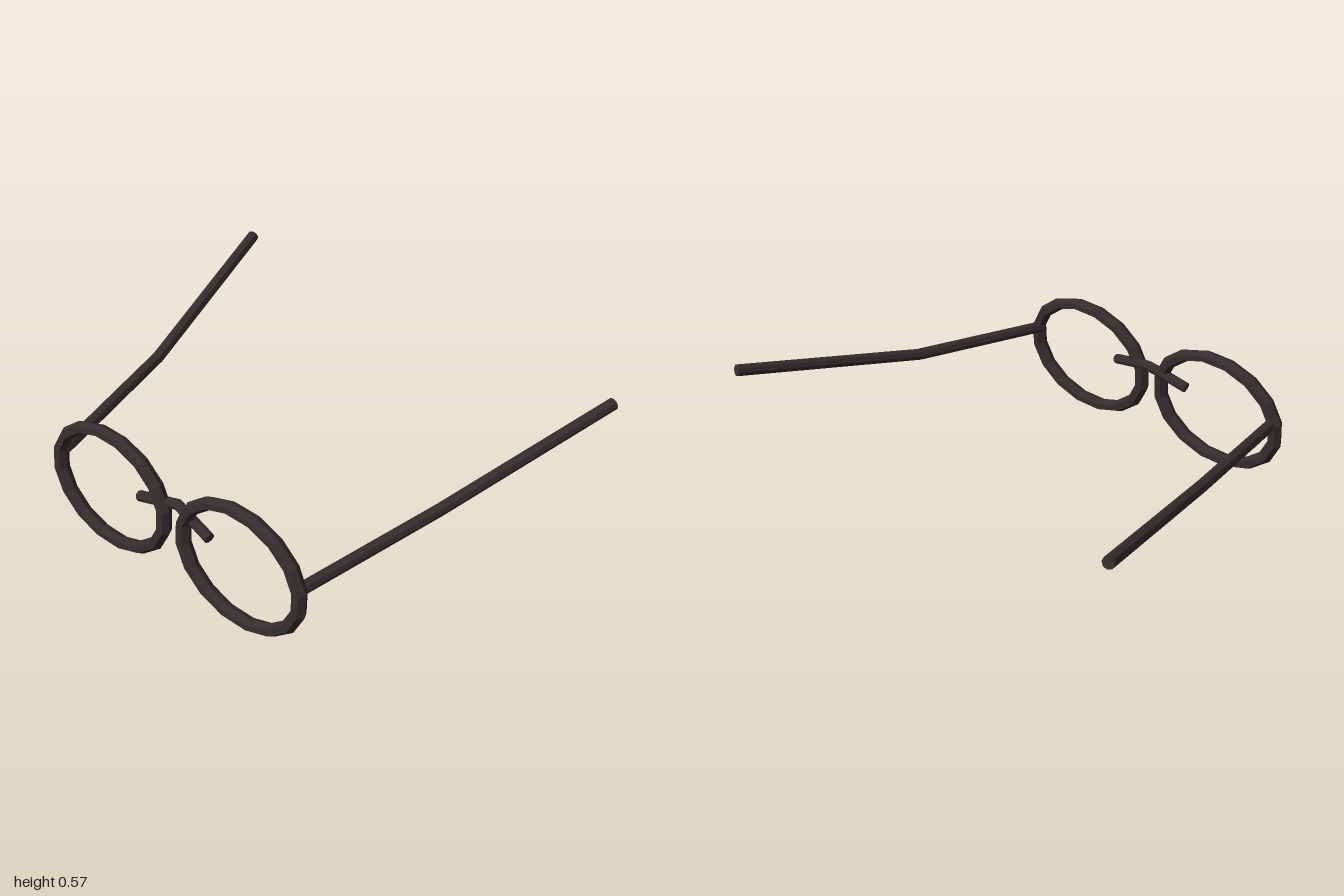
import * as THREE from 'three';

// Curve running straight between the given points, with mitred corners
class Polyline extends THREE.Curve {
  constructor(points) {
    super();
    this.points = points.map((p) => new THREE.Vector3(...p));
  }
  getPoint(t, target = new THREE.Vector3()) {
    const f = t * (this.points.length - 1);
    const i = Math.min(Math.floor(f), this.points.length - 2);
    return target.lerpVectors(this.points[i], this.points[i + 1], f - i);
  }
  getPointAt(t, target) { return this.getPoint(t, target); }
  getTangentAt(t, target) { return this.getTangent(t, target); }
}

// Faceted rod along a path, closed by a flat cap at each end
function rod(name, points, radius, sides, material) {
  const group = new THREE.Group();
  group.name = name;
  const path = new Polyline(points);
  const last = points.length - 1;
  const tube = new THREE.TubeGeometry(path, last, radius, sides, false);
  const body = new THREE.Mesh(tube, material);
  body.name = name + 'Rod';
  group.add(body);
  for (const i of [0, last]) {
    const sign = i === 0 ? -1 : 1;
    const n = tube.normals[i].clone().multiplyScalar(sign);
    const t = tube.tangents[i].clone().multiplyScalar(sign);
    const basis = new THREE.Matrix4().makeBasis(n, tube.binormals[i], t);
    const cap = new THREE.Mesh(new THREE.CircleGeometry(radius, sides).applyMatrix4(basis), material);
    cap.position.copy(path.points[i]);
    cap.name = name + 'Cap';
    group.add(cap);
  }
  return group;
}

export function createModel() {
  const model = new THREE.Group();
  model.name = 'eyeglasses';
  const frame = new THREE.MeshStandardMaterial({ color: 0x352d2d });
  frame.name = 'dark brown frame';
  frame.flatShading = true;

  // Oval rim, turned half a segment so its top and sides are flat
  const rimShape = new THREE.TorusGeometry(0.302, 0.031, 6, 16)
    .rotateZ(Math.PI / 16)
    .scale(1, 0.8, 1)
    .rotateX(-0.066);

  for (const [side, s] of [['left', 1], ['right', -1]]) {
    const rim = new THREE.Mesh(rimShape, frame);
    rim.name = side + 'Rim';
    rim.position.set(s * 0.35, 0.266, 0.704);
    model.add(rim);

    // Temple arm, bent part way back and spreading outwards
    model.add(rod(side + 'Temple', [
      [s * 0.632, 0.31, 0.695],
      [s * 0.762, 0.378, 0.06],
      [s * 0.973, 0.553, -0.74],
    ], 0.025, 8, frame));
  }

  // Bridge, arched up and slightly back, reaching past the rims
  model.add(rod('bridge', [
    [-0.19, 0.308, 0.7],
    [-0.055, 0.341, 0.685],
    [0, 0.353, 0.677],
    [0.055, 0.341, 0.685],
    [0.19, 0.308, 0.7],
  ], 0.022, 8, frame));

  return model;
}
